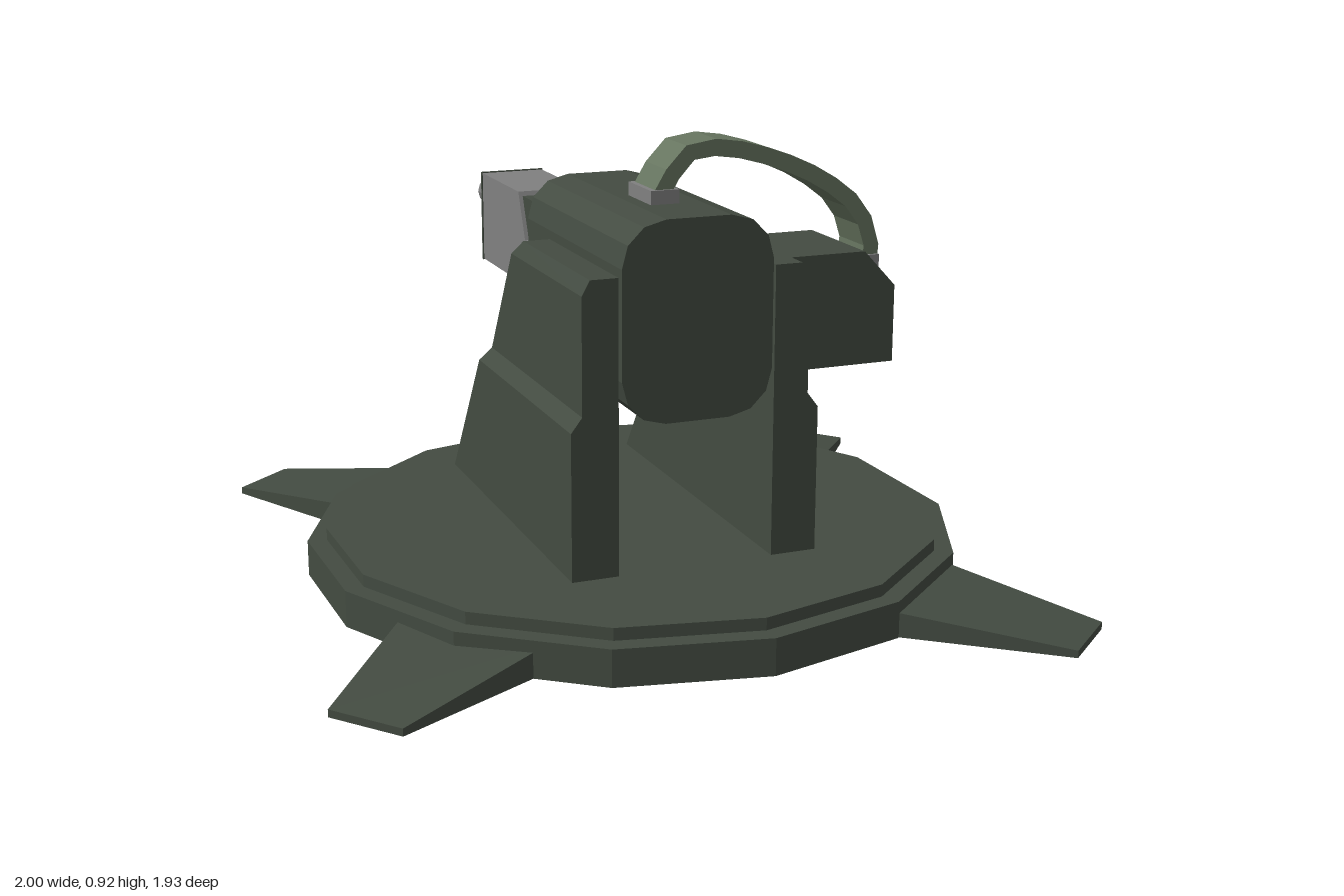
import * as THREE from 'three';

const paint = (color) => new THREE.MeshStandardMaterial({ color, flatShading: true, side: THREE.DoubleSide });

// Skin a row of equal-length convex loops, closing both ends
function loft(loops) {
  const tris = [];
  const n = loops[0].length;
  for (let k = 0; k + 1 < loops.length; k++) {
    for (let i = 0; i < n; i++) {
      const j = (i + 1) % n;
      const [a, b, c, d] = [loops[k][i], loops[k][j], loops[k + 1][j], loops[k + 1][i]];
      tris.push([a, b, c], [a, c, d]);
    }
  }
  const last = loops[loops.length - 1];
  for (let i = 1; i + 1 < n; i++) {
    tris.push([loops[0][0], loops[0][i + 1], loops[0][i]], [last[0], last[i], last[i + 1]]);
  }
  // Turn the faces outward whichever way the loops run
  const v = (p) => new THREE.Vector3(...p);
  const volume = tris.reduce((s, [a, b, c]) => s + v(a).dot(v(b).cross(v(c))), 0);
  if (volume < 0) tris.forEach((t) => t.reverse());
  const geometry = new THREE.BufferGeometry();
  geometry.setAttribute('position', new THREE.Float32BufferAttribute(tris.flat(2), 3));
  geometry.computeVertexNormals();
  return geometry;
}

// Rounded rectangle in the xy plane at depth z
function roundedLoop(hw, hh, r, cy, z, steps = 3) {
  const pts = [];
  [[1, 1], [-1, 1], [-1, -1], [1, -1]].forEach(([sx, sy], q) => {
    for (let i = 0; i <= steps; i++) {
      const a = (q + i / steps) * Math.PI / 2;
      pts.push([sx * (hw - r) + r * Math.cos(a), cy + sy * (hh - r) + r * Math.sin(a), z]);
    }
  });
  return pts;
}

// Extrude a side profile of [z, y] points across x, from x0 to x1
function sideProfile(points, x0, x1) {
  const shape = new THREE.Shape(points.map(([z, y]) => new THREE.Vector2(z, y)));
  return new THREE.ExtrudeGeometry(shape, { depth: x1 - x0, bevelEnabled: false })
    .rotateY(-Math.PI / 2).translate(x1, 0, 0);
}

export function createModel() {
  const model = new THREE.Group();
  const green = paint(0x434b41);
  const paleGreen = paint(0x66745f);
  const grey = paint(0x808080);

  const add = (parent, name, geometry, material) => {
    const mesh = new THREE.Mesh(geometry, material);
    mesh.name = name;
    parent.add(mesh);
    return mesh;
  };
  const box = (w, h, d, x, y, z) => new THREE.BoxGeometry(w, h, d).translate(x, y, z);

  // Fourteen-sided base with a stepped deck
  add(model, 'basePlate', new THREE.CylinderGeometry(0.685, 0.685, 0.075, 14).translate(0, 0.0375, 0), green);
  add(model, 'baseDeck', new THREE.CylinderGeometry(0.645, 0.645, 0.03, 14).translate(0, 0.085, 0), green);

  // Four tapering feet
  const footSection = (r, half, top) => [[-half, 0, r], [half, 0, r], [half, top, r], [-half, top, r]];
  for (let i = 0; i < 4; i++) {
    const tip = i % 2 ? 1 : 0.963;
    const foot = loft([footSection(0.6, 0.162, 0.057), footSection(tip, 0.08, 0.015)]);
    add(model, 'foot', foot, green).rotation.y = i * Math.PI / 2;
  }

  // Everything above the base, turned so that its own +z is the barrel direction
  const turret = new THREE.Group();
  turret.name = 'turret';
  turret.rotation.y = THREE.MathUtils.degToRad(230);
  model.add(turret);

  // Side supports: height, front edge, outer face
  const levels = [[0.1, 0.45, 0.26], [0.4, 0.24, 0.26], [0.43, 0.22, 0.237], [0.665, 0.073, 0.237], [0.695, 0.045, 0.22]];
  for (const s of [-1, 1]) {
    const support = loft(levels.map(([y, front, outer]) => [
      [s * 0.163, y, -0.35], [s * outer, y, -0.35], [s * outer, y, front], [s * 0.163, y, front],
    ]));
    add(turret, 'sideSupport', support, green);
  }

  // Body with its chamfered front ring and collar
  add(turret, 'body', loft([roundedLoop(0.157, 0.2, 0.09, 0.6, -0.352), roundedLoop(0.157, 0.2, 0.09, 0.6, 0.203)]), green);
  add(turret, 'frontRing', loft([roundedLoop(0.155, 0.198, 0.09, 0.6, 0.2), roundedLoop(0.118, 0.155, 0.07, 0.6, 0.25)]), grey);
  add(turret, 'collar', loft([
    roundedLoop(0.11, 0.145, 0.06, 0.6, 0.245),
    roundedLoop(0.11, 0.145, 0.06, 0.6, 0.285),
    roundedLoop(0.095, 0.13, 0.055, 0.6, 0.303),
  ]), green);

  // Gun housing with a notch filled by a dark block
  const housing = [[0.29, 0.5], [0.81, 0.5], [0.81, 0.71], [0.52, 0.71], [0.475, 0.605], [0.29, 0.605]];
  add(turret, 'gunHousing', sideProfile(housing, -0.075, 0.075), grey);
  const filler = [[0.29, 0.6], [0.48, 0.6], [0.525, 0.7], [0.29, 0.7]];
  add(turret, 'breechBlock', sideProfile(filler, -0.066, 0.066), green);
  add(turret, 'housingBand', box(0.154, 0.214, 0.008, 0, 0.605, 0.799), green);

  // Hollow barrel
  const tube = [[0, 0.9], [0.02, 0.9], [0.02, 0.978], [0.028, 0.978], [0.035, 0.968], [0.035, 0.8]];
  const barrel = new THREE.LatheGeometry(tube.map(([r, z]) => new THREE.Vector2(r, z)).reverse(), 12);
  add(turret, 'barrel', barrel.rotateX(Math.PI / 2).translate(0, 0.635, 0), grey);

  // Ammunition box on one side, with a sloping outer shoulder
  const boxProfile = [[-0.22, 0.45], [-0.475, 0.45], [-0.475, 0.61], [-0.405, 0.685], [-0.22, 0.685]];
  add(turret, 'ammoBox', loft([-0.257, -0.017].map((z) => boxProfile.map(([x, y]) => [x, y, z]))), green);

  // Arched feed belt from the body top to the box
  const arch = new THREE.CatmullRomCurve3([
    [0.02, 0.81], [-0.01, 0.86], [-0.05, 0.9], [-0.12, 0.903], [-0.23, 0.875],
    [-0.33, 0.83], [-0.41, 0.77], [-0.447, 0.7], [-0.445, 0.63],
  ].map(([x, y]) => new THREE.Vector3(x, y, 0)));
  const belt = [];
  for (let i = 0; i <= 12; i++) {
    const p = arch.getPointAt(i / 12);
    const t = arch.getTangentAt(i / 12);
    const [nx, ny] = [-t.y * 0.017, t.x * 0.017];
    belt.push([
      [p.x + nx, p.y + ny, -0.2], [p.x + nx, p.y + ny, -0.092],
      [p.x - nx, p.y - ny, -0.092], [p.x - nx, p.y - ny, -0.2],
    ]);
  }
  add(turret, 'feedBelt', loft(belt), paleGreen);
  add(turret, 'beltSocket', box(0.06, 0.04, 0.12, 0.01, 0.808, -0.146), grey);
  add(turret, 'beltSocket', box(0.05, 0.04, 0.12, -0.44, 0.645, -0.146), grey);

  return model;
}
